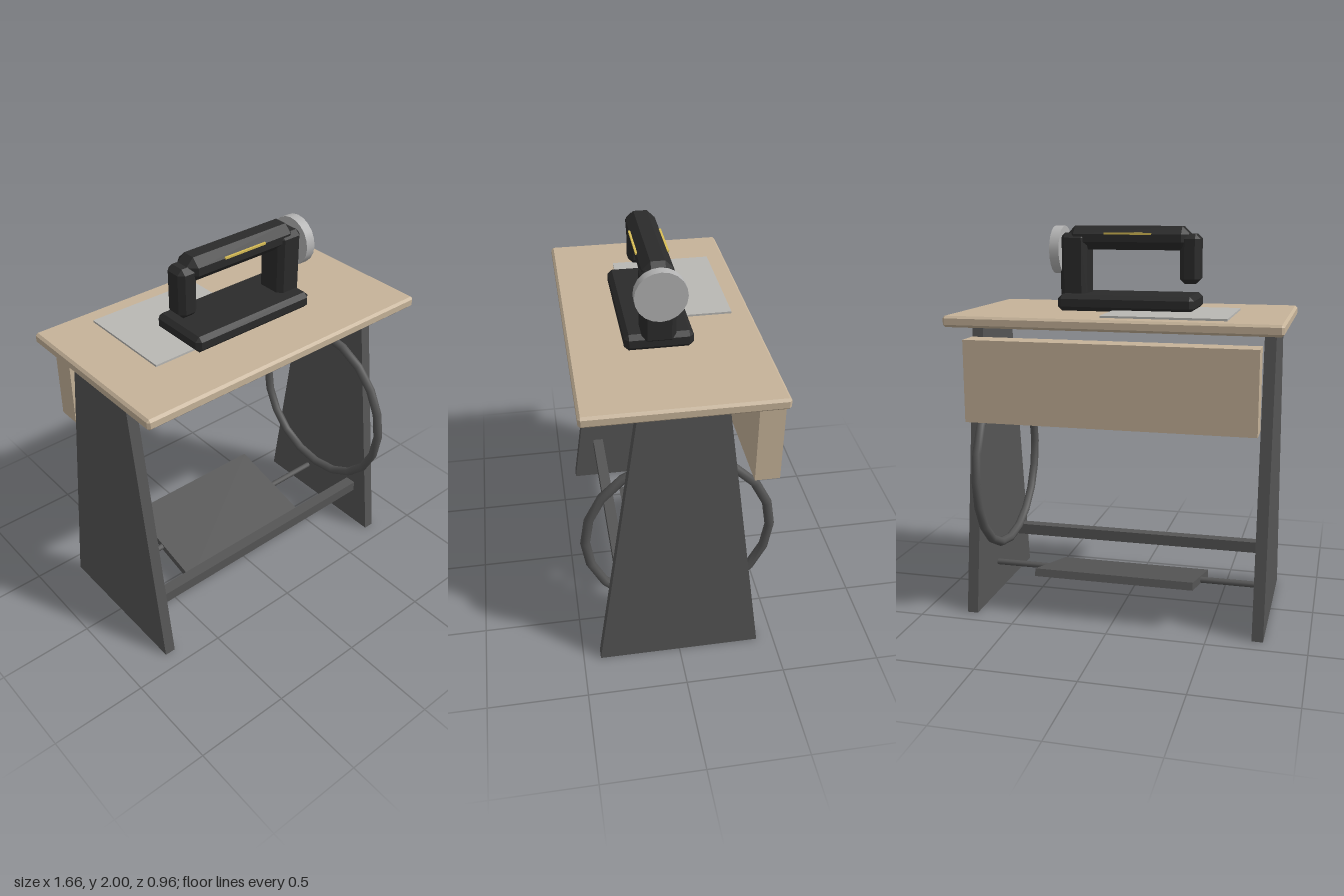
import * as THREE from 'three';
import { ConvexGeometry } from 'three/addons/geometries/ConvexGeometry.js';

const paint = (color) => new THREE.MeshStandardMaterial({ color });
const wood = paint(0xc6b399), iron = paint(0x555555), black = paint(0x2b2b2b);
const steel = paint(0xb9b8b4), chrome = paint(0xb4b4b4), gold = paint(0xd8bd55);

function add(parent, name, geometry, material, x = 0, y = 0, z = 0) {
  const mesh = new THREE.Mesh(geometry, material);
  mesh.name = name;
  mesh.position.set(x, y, z);
  parent.add(mesh);
  return mesh;
}

// Box given by its limits on each axis
function box(parent, name, material, [x0, x1], [y0, y1], [z0, z1]) {
  return add(parent, name, new THREE.BoxGeometry(x1 - x0, y1 - y0, z1 - z0), material,
    (x0 + x1) / 2, (y0 + y1) / 2, (z0 + z1) / 2);
}

// Box with all edges cut at 45 degrees by c
function chamferBox(parent, name, material, [x0, x1], [y0, y1], [z0, z1], c) {
  const half = [(x1 - x0) / 2, (y1 - y0) / 2, (z1 - z0) / 2];
  const points = [];
  for (const sx of [-1, 1]) for (const sy of [-1, 1]) for (const sz of [-1, 1]) {
    for (let full = 0; full < 3; full++) {
      const [a, b, d] = half.map((h, i) => (i === full ? h : h - c));
      points.push(new THREE.Vector3(sx * a, sy * b, sz * d));
    }
  }
  return add(parent, name, new ConvexGeometry(points), material,
    (x0 + x1) / 2, (y0 + y1) / 2, (z0 + z1) / 2);
}

function createStand() {
  const stand = new THREE.Group();
  stand.name = 'stand';

  // Tapered side legs, cut as trapezoids in the z-y plane
  const outline = new THREE.Shape([
    new THREE.Vector2(-0.413, 0), new THREE.Vector2(0.413, 0),
    new THREE.Vector2(0.207, 1.5), new THREE.Vector2(-0.207, 1.5),
  ]);
  const legGeometry = new THREE.ExtrudeGeometry(outline, { depth: 0.057, bevelEnabled: false });
  legGeometry.translate(0, 0, -0.0285).rotateY(Math.PI / 2);
  add(stand, 'leftLeg', legGeometry, iron, 0.75);
  add(stand, 'rightLeg', legGeometry, iron, -0.75);

  // Front stretcher
  box(stand, 'stretcher', iron, [-0.73, 0.73], [0.22, 0.28], [0.23, 0.29]);

  // Treadle board tilting on its rod
  const rod = new THREE.CylinderGeometry(0.016, 0.016, 1.46, 10).rotateZ(Math.PI / 2);
  add(stand, 'treadleRod', rod, iron, 0, 0.17, -0.1);
  const treadle = add(stand, 'treadle', new THREE.BoxGeometry(0.83, 0.04, 0.54), iron, 0, 0.17, -0.1);
  treadle.rotation.x = 0.25;

  // Large drive wheel beside the left leg
  const wheel = new THREE.TorusGeometry(0.455, 0.024, 8, 20).rotateY(Math.PI / 2);
  add(stand, 'driveWheel', wheel, iron, 0.687, 0.735, 0);
  return stand;
}

function createTable() {
  const table = new THREE.Group();
  table.name = 'table';
  chamferBox(table, 'tabletop', wood, [-0.832, 0.832], [1.517, 1.573], [-0.465, 0.465], 0.012);
  box(table, 'rearPanel', wood, [-0.727, 0.723], [1.048, 1.46], [-0.476, -0.354]);
  box(table, 'coverPlate', steel, [-0.56, 0.058], [1.565, 1.583], [-0.367, 0.15]);
  return table;
}

function createMachine() {
  const machine = new THREE.Group();
  machine.name = 'sewingMachine';
  chamferBox(machine, 'base', black, [-0.357, 0.35], [1.575, 1.658], [-0.125, 0.203], 0.022);
  chamferBox(machine, 'column', black, [0.217, 0.358], [1.61, 1.965], [-0.042, 0.122], 0.025);
  chamferBox(machine, 'arm', black, [-0.315, 0.325], [1.88, 2], [-0.035, 0.112], 0.04);
  chamferBox(machine, 'head', black, [-0.368, -0.265], [1.713, 1.963], [-0.022, 0.1], 0.025);

  // Hand wheel on the end of the column
  const wheel = new THREE.CylinderGeometry(0.123, 0.123, 0.05, 20).rotateZ(Math.PI / 2);
  add(machine, 'handWheel', wheel, chrome, 0.374, 1.877, 0.04);

  // Gold trim on both sides of the arm
  for (const z of [-0.036, 0.113]) {
    box(machine, 'trim', gold, [-0.123, 0.122], [1.957, 1.967], [z - 0.005, z + 0.005]);
  }
  return machine;
}

export function createModel() {
  const model = new THREE.Group();
  model.name = 'treadleSewingTable';
  model.add(createStand(), createTable(), createMachine());
  return model;
}
